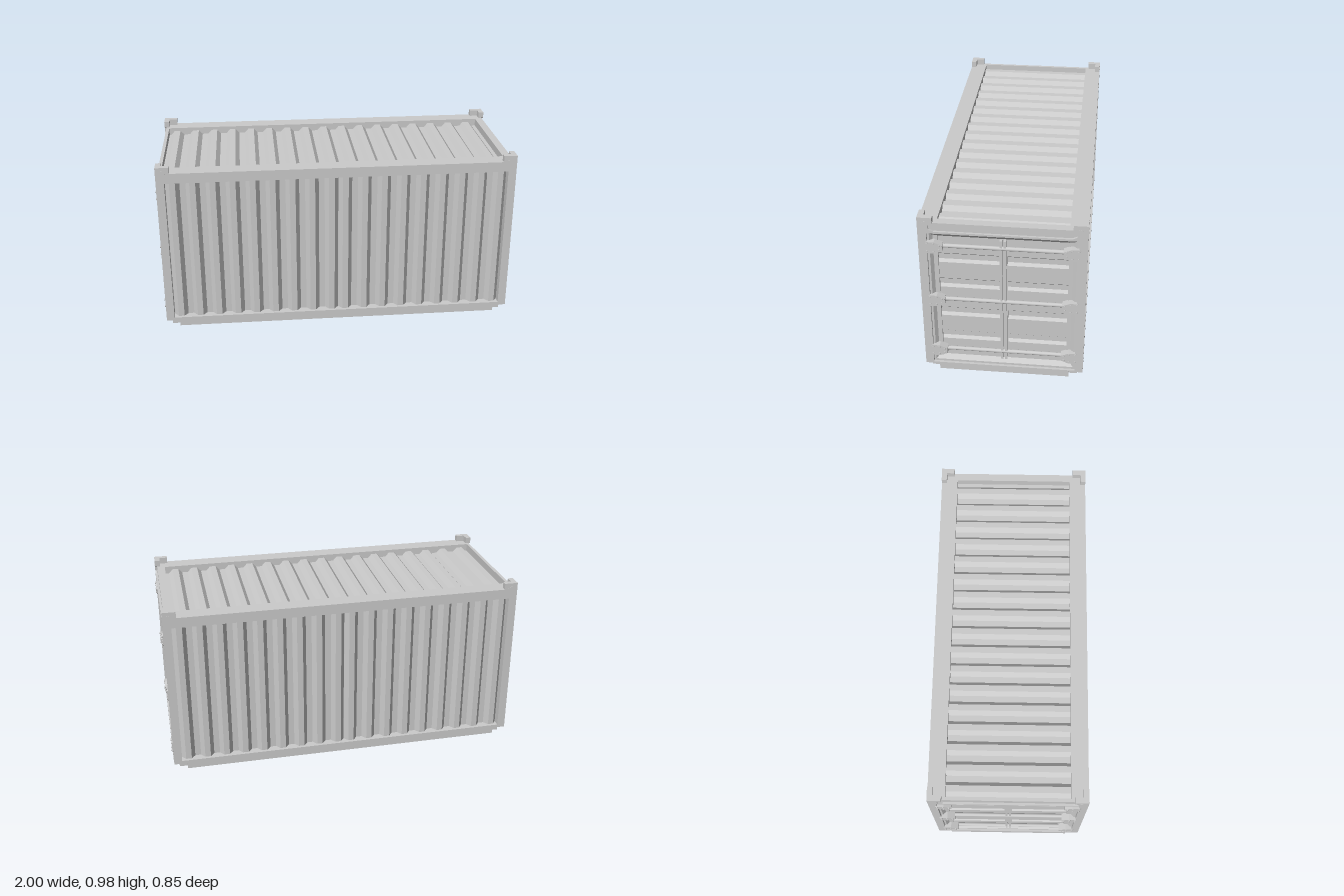
import * as THREE from 'three';

const X = 0.992, Z = 0.425, TOP = 0.94, CAST = 0.975, FOOT = 0.035, ARM = 0.075, WALL = 0.03;
const material = new THREE.MeshStandardMaterial({ color: 0xcccccc, flatShading: true });
const smooth = new THREE.MeshStandardMaterial({ color: 0xcccccc });
const doubleSided = new THREE.MeshStandardMaterial({ color: 0xcccccc, flatShading: true, side: THREE.DoubleSide });

function add(parent, name, geometry, mat = material) {
  const mesh = new THREE.Mesh(geometry, mat);
  mesh.name = name;
  parent.add(mesh);
  return mesh;
}

// Box given by its limits
function box(x0, x1, y0, y1, z0, z1) {
  return new THREE.BoxGeometry(x1 - x0, y1 - y0, z1 - z0)
    .translate((x0 + x1) / 2, (y0 + y1) / 2, (z0 + z1) / 2);
}

const shapeOf = pts => new THREE.Shape(pts.map(p => new THREE.Vector2(p[0], p[1])));
const mirrored = half => [...half, ...half.map(([x, y]) => [-x, y]).reverse()];
const rect = (w, y0, y1) => [[w, y0], [w, y1], [-w, y1], [-w, y0]];

function extrude(pts, depth, hole) {
  const shape = shapeOf(pts);
  if (hole) shape.holes.push(shapeOf(hole));
  return new THREE.ExtrudeGeometry(shape, { depth, bevelEnabled: false });
}

// Extrusion standing on the +x side, drawn in (-z, y)
const extrudeX = (pts, x0, x1, hole) =>
  extrude(pts, x1 - x0, hole).rotateY(Math.PI / 2).translate(x0, 0, 0);

// Frame outline: feet cut away below, raised castings above
const frameOutline = (half, crown = []) => mirrored([
  [half - ARM, 0], [half - ARM, FOOT], [half, FOOT], [half, CAST],
  [half - ARM, CAST], [half - ARM, TOP], ...crown,
]);

// Closed trapezoid wave: each start is the foot of a rib
function corrugation(x0, x1, starts, low, high, back, crest) {
  const slope = 0.022, pts = [[x0, back], [x0, low]];
  for (const s of starts) {
    pts.push([s, low], [s + slope, high], [s + slope + crest, high], [s + 2 * slope + crest, low]);
  }
  pts.push([x1, low], [x1, back]);
  return pts.reverse();
}

// Stepped rectangular reveal, lofted from loops of [halfWidth, y0, y1, x]
function reveal(loops) {
  const pos = [], index = [];
  for (const [w, y0, y1, x] of loops) pos.push(x, y0, w, x, y0, -w, x, y1, -w, x, y1, w);
  for (let i = 0; i < loops.length - 1; i++) {
    for (let j = 0; j < 4; j++) {
      const a = i * 4 + j, b = i * 4 + (j + 1) % 4;
      index.push(a, b, b + 4, a, b + 4, a + 4);
    }
  }
  const g = new THREE.BufferGeometry();
  g.setAttribute('position', new THREE.Float32BufferAttribute(pos, 3));
  g.setIndex(index);
  const flat = g.toNonIndexed();
  flat.computeVertexNormals();
  return flat;
}

function createSide(name) {
  const side = new THREE.Group();
  side.name = name;
  const opening = rect(0.947, 0.053, 0.883);
  add(side, 'sideFrame', extrude(frameOutline(X), WALL, opening).translate(0, 0, Z - WALL));
  add(side, 'sideInnerFrame', extrude(rect(X - WALL, 0, TOP), 0.063, opening).translate(0, 0, 0.332));

  // Wall ribs run in two mirrored sets of nine
  const starts = [];
  for (const first of [-0.945, 0.002]) {
    for (let i = 0; i < 9; i++) starts.push(first + i * 0.1087);
  }
  const wave = corrugation(-0.95, 0.95, starts, 0.38, 0.408, 0.35, 0.032);
  add(side, 'corrugatedWall', extrude(wave, 0.836).rotateX(Math.PI / 2).translate(0, 0.886, 0));

  for (const s of [-1, 1]) {
    add(side, 'castingEye', new THREE.CylinderGeometry(0.019, 0.019, 0.01, 24)
      .rotateX(Math.PI / 2).translate(s * 0.957, 0.936, Z - 0.004), smooth);
  }
  return side;
}

function createHinge(s, y) {
  const hinge = new THREE.Group();
  hinge.name = 'hinge';
  const plate = [[0.392, -0.028], [0.385, -0.034], [0.345, -0.034], [0.304, -0.016],
    [0.304, 0.016], [0.345, 0.034], [0.385, 0.034], [0.392, 0.028]];
  const pts = plate.map(([z, dy]) => [-s * z, y + dy]);
  add(hinge, 'hingePlate', extrudeX(s > 0 ? pts.reverse() : pts, 0.956, 0.996));
  for (const [z, dy] of [[0.381, 0.022], [0.348, 0.023], [0.319, 0.012]]) {
    for (const v of [-1, 1]) {
      add(hinge, 'hingeBolt', new THREE.CylinderGeometry(0.006, 0.006, 0.008, 12)
        .rotateZ(Math.PI / 2).translate(0.996, y + v * dy, s * z), smooth);
    }
  }
  return hinge;
}

function createEnd(name) {
  const end = new THREE.Group();
  end.name = name;
  const opening = rect(0.381, 0.044, 0.884);
  const crown = [[0.37, 0.93], [0.37, 0.907], [0.345, 0.895]];
  add(end, 'endFrame', extrudeX(frameOutline(Z, crown), 0.98, X, opening));
  add(end, 'endInnerFrame', extrudeX(frameOutline(Z), X - WALL, 0.98, opening));
  add(end, 'doorReveal', reveal([
    [0.381, 0.044, 0.884, X], [0.381, 0.044, 0.884, 0.978],
    [0.37, 0.056, 0.875, 0.978], [0.348, 0.077, 0.85, 0.955],
  ]), doubleSided);

  // Door leaf section with four pressed grooves
  const face = 0.955, groove = 0.94, back = 0.92;
  const section = [[back, 0.07], [face, 0.07]];
  for (const [y0, y1] of [[0.186, 0.242], [0.343, 0.4], [0.531, 0.588], [0.688, 0.745]]) {
    section.push([face, y0], [groove, y0 + 0.013], [groove, y1 - 0.013], [face, y1]);
  }
  section.push([face, 0.86], [back, 0.86]);
  for (const s of [-1, 1]) {
    add(end, 'doorPanel', extrude(section, 0.317).translate(0, 0, s > 0 ? 0.021 : -0.338));
    add(end, 'doorEdge', box(back, face, 0.07, 0.86, s > 0 ? 0.338 : -0.355, s > 0 ? 0.355 : -0.338));
    add(end, 'doorLip', box(face - 0.01, 0.975, 0.08, 0.848, s * 0.0105 - 0.006, s * 0.0105 + 0.006));
    add(end, 'castingEye', new THREE.CylinderGeometry(0.017, 0.017, 0.01, 24)
      .rotateZ(Math.PI / 2).translate(X - 0.004, 0.936, s * 0.387), smooth);
  }
  add(end, 'doorMeeting', box(back, face, 0.07, 0.86, -0.021, 0.021));

  // Locking bars between pairs of hinges
  for (const y of [0.8, 0.465, 0.13]) {
    add(end, 'lockingBar', new THREE.CylinderGeometry(0.011, 0.011, 0.62, 16)
      .rotateX(Math.PI / 2).translate(0.967, y, 0), smooth);
    end.add(createHinge(1, y), createHinge(-1, y));
  }
  return end;
}

export function createModel() {
  const model = new THREE.Group();
  model.name = 'shippingContainer';

  const front = createSide('frontSide'), rear = createSide('rearSide');
  rear.rotation.y = Math.PI;
  const left = createEnd('leftEnd'), right = createEnd('rightEnd');
  right.rotation.y = Math.PI;
  model.add(front, rear, left, right);

  // Floor, roof header and corrugated roof
  add(model, 'floor', box(-0.962, 0.962, 0, 0.05, -0.34, 0.34));
  add(model, 'roofHeader', box(0.936, 0.962, 0.884, TOP, -0.332, 0.332));
  const starts = Array.from({ length: 17 }, (_, i) => -0.952 + i * 0.1117);
  const wave = corrugation(-0.963, 0.94, starts, 0.898, 0.922, 0.88, 0.034);
  add(model, 'corrugatedRoof', extrude(wave, 0.67).translate(0, 0, -0.335));
  return model;
}
